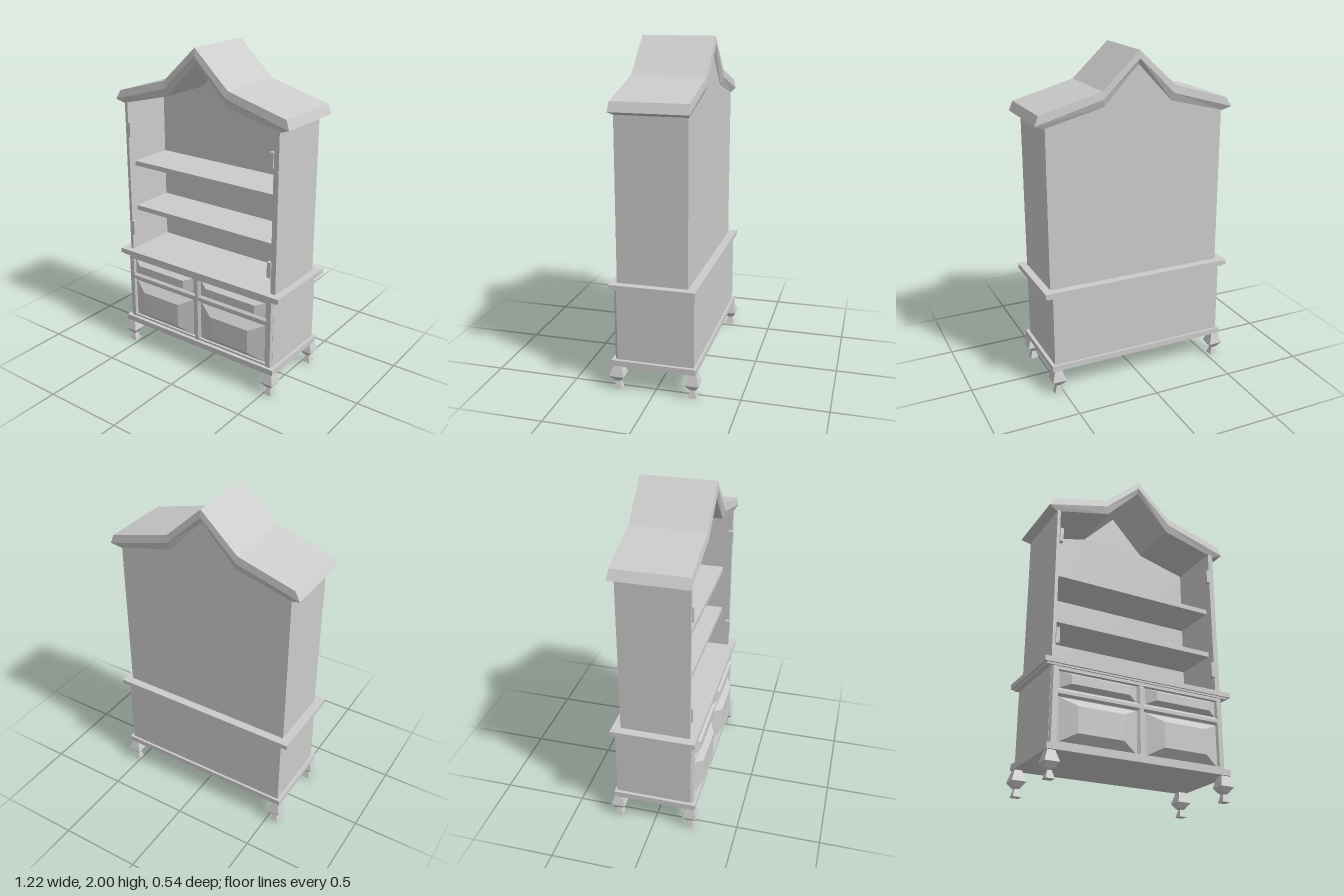
import * as THREE from 'three';

const mat = new THREE.MeshStandardMaterial({ color: 0xcccccc, flatShading: true });

export function createModel() {
  const root = new THREE.Group();
  root.name = 'displayCabinet';

  const add = (name, geo) => {
    const m = new THREE.Mesh(geo, mat);
    m.name = name;
    root.add(m);
    return m;
  };

  // Box given by its limits
  const box = (name, x0, x1, y0, y1, z0, z1) => {
    const g = new THREE.BoxGeometry(x1 - x0, y1 - y0, z1 - z0);
    g.translate((x0 + x1) / 2, (y0 + y1) / 2, (z0 + z1) / 2);
    return add(name, g);
  };

  // Box whose front face is pulled in by dx and dy, giving bevelled sides
  const raised = (name, x0, x1, y0, y1, z0, z1, dx, dy) => {
    const m = box(name, x0, x1, y0, y1, z0, z1);
    const p = m.geometry.attributes.position;
    const zm = (z0 + z1) / 2, xm = (x0 + x1) / 2, ym = (y0 + y1) / 2;
    for (let i = 0; i < p.count; i++) {
      if (p.getZ(i) < zm) continue;
      p.setX(i, p.getX(i) - Math.sign(p.getX(i) - xm) * dx);
      p.setY(i, p.getY(i) - Math.sign(p.getY(i) - ym) * dy);
    }
    m.geometry.computeVertexNormals();
    return m;
  };

  // Square turned feet: stacked four-sided tapers
  const tiers = [[0, 0.025], [0.045, 0.012], [0.055, 0.022], [0.085, 0.043], [0.15, 0.022]];
  for (const x of [-0.548, 0.53]) for (const z of [0.221, -0.227]) {
    const pts = tiers.map(([y, r]) => new THREE.Vector2(r * Math.SQRT2, y));
    pts.unshift(new THREE.Vector2(0, 0));
    const g = new THREE.LatheGeometry(pts, 4);
    g.rotateY(Math.PI / 4);
    add('foot', g).position.set(x, 0, z);
  }

  // Lower chest
  box('basePlinth', -0.58, 0.565, 0.15, 0.185, -0.25, 0.254);
  box('chestBody', -0.56, 0.545, 0.185, 0.63, -0.235, 0.222);
  box('counterTop', -0.607, 0.593, 0.63, 0.66, -0.25, 0.254);
  box('counterMoulding', -0.59, 0.576, 0.62, 0.63, -0.24, 0.243);

  // Bevelled face frame round the drawers and doors
  const zf = 0.22, zr = 0.236;
  const stile = (x0, x1, dx) => raised('frameStile', x0, x1, 0.185, 0.625, zf, zr, dx, 0);
  const rail = (y0, y1, dy) => raised('frameRail', -0.55, 0.535, y0, y1, zf, zr, 0, dy);
  stile(-0.56, -0.51, 0.01);
  stile(-0.035, 0.02, 0.018);
  stile(0.495, 0.545, 0.01);
  rail(0.185, 0.205, 0.004);
  rail(0.45, 0.5, 0.015);
  rail(0.595, 0.625, 0.006);

  // Raised drawer and door panels
  for (const x0 of [-0.51, 0.02]) {
    const x1 = x0 + 0.475;
    raised('drawerFront', x0, x1, 0.5, 0.597, zf, 0.257, 0.06, 0.022);
    raised('lowerPanel', x0, x1, 0.2, 0.45, zf, 0.266, 0.1, 0.05);
  }

  // Upper case: walls, gabled back and shelves
  box('rightWall', -0.555, -0.535, 0.66, 1.635, -0.2, 0.215);
  box('leftWall', 0.515, 0.548, 0.66, 1.635, -0.2, 0.215);
  const gable = new THREE.Shape([
    [-0.55, 0.66], [0.54, 0.66], [0.54, 1.63], [0.2, 1.72], [-0.01, 1.94], [-0.22, 1.72], [-0.55, 1.63],
  ].map(([x, y]) => new THREE.Vector2(x, y)));
  const back = new THREE.ExtrudeGeometry(gable, { depth: 0.08, bevelEnabled: false });
  back.translate(0, 0, -0.2);
  add('backPanel', back);
  for (const y of [0.915, 1.21]) box('shelf', -0.536, 0.516, y, y + 0.03, -0.125, 0.165);

  // Hinge plates on the inner edges of the walls
  for (const [y0, y1] of [[0.76, 0.855], [1.41, 1.5]]) {
    box('hinge', -0.537, -0.515, y0, y1, 0.195, 0.223);
    box('hinge', 0.492, 0.517, y0, y1, 0.195, 0.223);
  }

  // Roof: five stations across, each with a top, middle and low line [x, y]
  const lines = {
    top: [[-0.58, 1.69], [-0.235, 1.79], [-0.01, 2], [0.215, 1.79], [0.59, 1.69]],
    mid: [[-0.612, 1.635], [-0.23, 1.745], [-0.01, 1.955], [0.21, 1.745], [0.612, 1.635]],
    low: [[-0.56, 1.613], [-0.22, 1.7], [-0.01, 1.922], [0.2, 1.7], [0.552, 1.613]],
  };
  const ring = [['top', 0.222], ['mid', 0.228], ['low', 0.213], ['low', -0.203], ['mid', -0.221], ['top', -0.217]];
  const pos = [], idx = [];
  for (let s = 0; s < 5; s++) for (const [key, z] of ring) pos.push(...lines[key][s], z);
  for (let s = 0; s < 4; s++) for (let k = 0; k < 6; k++) {
    const a = s * 6 + k, b = s * 6 + (k + 1) % 6;
    idx.push(a, b, b + 6, a, b + 6, a + 6);
  }
  // End faces, each folded along its middle line
  for (const [a, b, c, d] of [[0, 5, 4, 1], [1, 4, 3, 2]]) {
    idx.push(a, b, c, a, c, d);
    idx.push(a + 24, c + 24, b + 24, a + 24, d + 24, c + 24);
  }
  const roof = new THREE.BufferGeometry();
  roof.setAttribute('position', new THREE.Float32BufferAttribute(pos, 3));
  roof.setIndex(idx);
  const flat = roof.toNonIndexed();
  flat.computeVertexNormals();
  add('roof', flat);

  return root;
}
